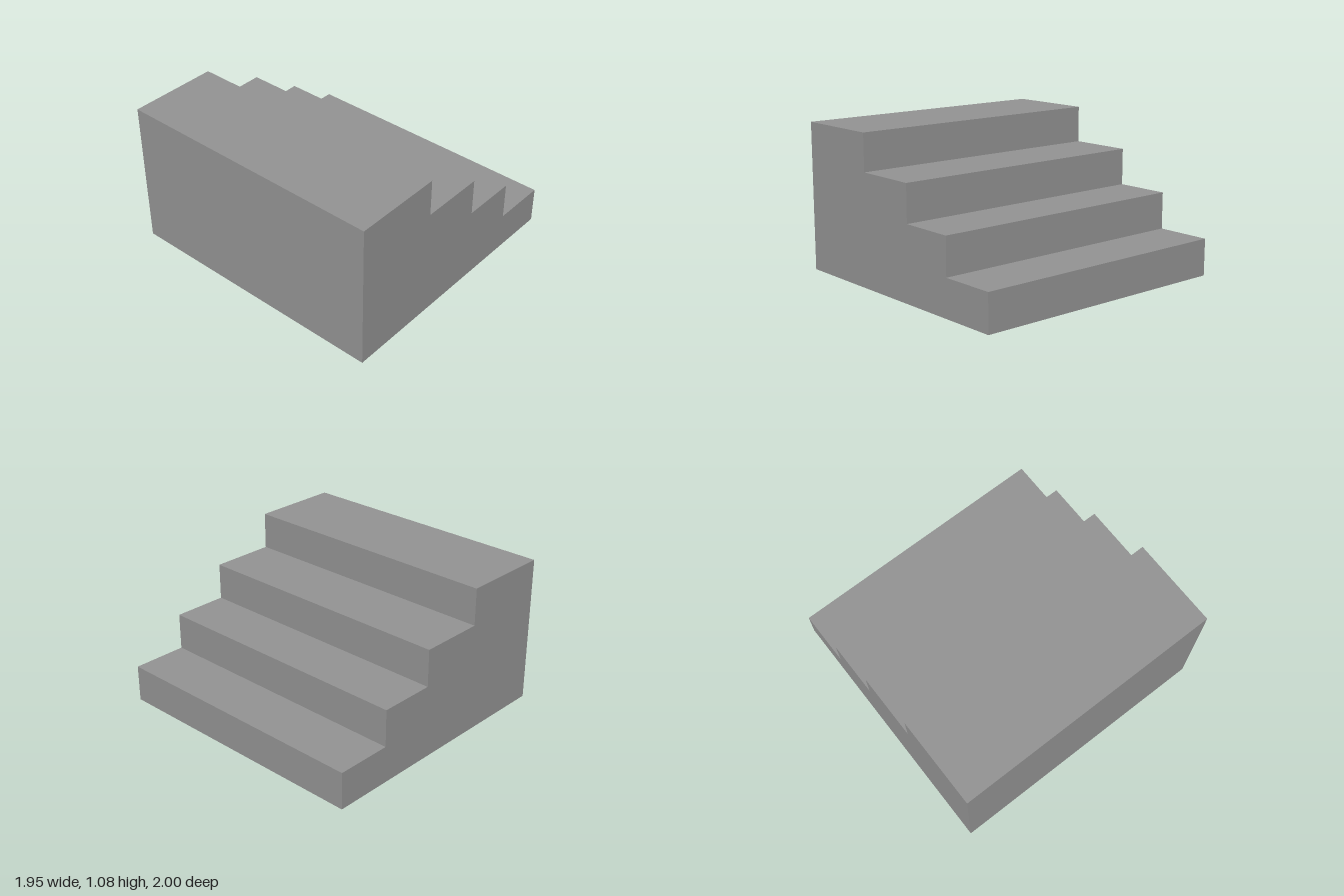
import * as THREE from 'three';

export function createModel() {
  const model = new THREE.Group();
  model.name = 'staircase';
  const stone = new THREE.MeshStandardMaterial({ color: 0x929292 });
  stone.name = 'grey stone';

  const depth = 2, rise = 0.27, leftEdge = -0.975;
  // Right edge of each tread, from the top landing down to the lowest step
  const treadEnds = [-0.317, 0.16, 0.568, 0.975];

  // Stepped side profile, counter-clockwise from the tall bottom corner
  const profile = new THREE.Shape();
  profile.moveTo(leftEdge, 0);
  for (let i = treadEnds.length - 1; i >= 0; i--) {
    const level = treadEnds.length - i;
    profile.lineTo(treadEnds[i], (level - 1) * rise);
    profile.lineTo(treadEnds[i], level * rise);
  }
  profile.lineTo(leftEdge, treadEnds.length * rise);
  profile.closePath();

  // Solid flight of steps
  const geometry = new THREE.ExtrudeGeometry(profile, { depth, bevelEnabled: false });
  geometry.translate(0, 0, -depth / 2);
  const steps = new THREE.Mesh(geometry, stone);
  steps.name = 'steps';
  model.add(steps);
  return model;
}
